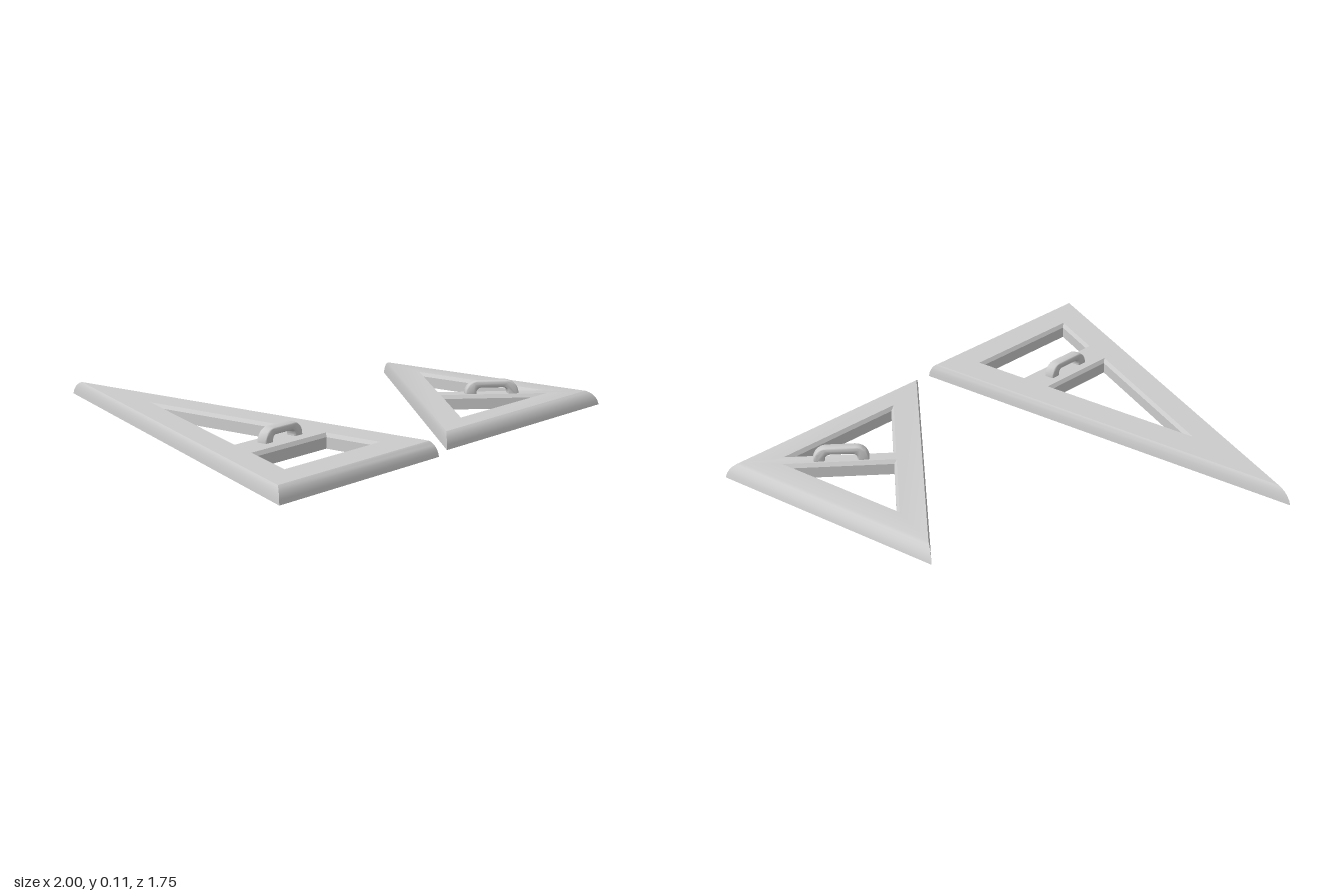
import * as THREE from 'three';
import { mergeGeometries, toCreasedNormals } from 'three/addons/utils/BufferGeometryUtils.js';

const HEIGHT = 0.055;
// Rounded bevel: [share of height, share of inset]
const BEVEL = [[0, 0], [0.3, 0.1], [0.55, 0.27], [0.75, 0.48], [0.9, 0.73], [1, 1]];
// Hole edge: straight wall with a small chamfer on top
const CHAMFER = [[0, 0], [0.75, 0], [1, 1]];

const material = new THREE.MeshStandardMaterial({ color: 0xcccccc });

// Moves every edge of an [x, z] polygon inwards by its own distance
function inset(points, distances) {
  const n = points.length;
  const normals = points.map(([x, z], i) => {
    const [x2, z2] = points[(i + 1) % n];
    const length = Math.hypot(x2 - x, z2 - z);
    return [(z - z2) / length, (x2 - x) / length];
  });
  return points.map(([x, z], i) => {
    const j = (i + n - 1) % n;
    const [ax, az] = normals[j], [bx, bz] = normals[i];
    const da = distances[j], db = distances[i];
    const det = ax * bz - az * bx;
    return [x + (da * bz - db * az) / det, z + (ax * db - bx * da) / det];
  });
}

// Side wall lofted through the profile; holes face the other way
function wall(points, distances, profile, isHole) {
  const rings = profile.map(([h, k]) =>
    inset(points, distances.map((d) => d * k)).map(([x, z]) => [x, h * HEIGHT, z]));
  const positions = [];
  for (let r = 0; r < rings.length - 1; r++) {
    for (let i = 0; i < points.length; i++) {
      const j = (i + 1) % points.length;
      const a = rings[r][i], b = rings[r][j], c = rings[r + 1][j], d = rings[r + 1][i];
      const corners = isHole ? [a, b, c, a, c, d] : [a, d, c, a, c, b];
      corners.forEach((p) => positions.push(...p));
    }
  }
  const geometry = new THREE.BufferGeometry();
  geometry.setAttribute('position', new THREE.Float32BufferAttribute(positions, 3));
  return geometry;
}

// Flat face with holes, facing up or down
function cap(outline, holes, up) {
  const sign = up ? -1 : 1;
  const toVectors = (points) => points.map(([x, z]) => new THREE.Vector2(x, sign * z));
  const shape = new THREE.Shape(toVectors(outline));
  shape.holes = holes.map((hole) => new THREE.Path(toVectors(hole)));
  const geometry = new THREE.ShapeGeometry(shape).toNonIndexed();
  geometry.rotateX(sign * Math.PI / 2).translate(0, up ? HEIGHT : 0, 0);
  geometry.deleteAttribute('uv');
  geometry.deleteAttribute('normal');
  return geometry;
}

// Plate with bevelled outer edges and chamfered cut-outs
function plate(outline, bevels, holes) {
  const widen = (hole) => hole.map(() => -0.01);
  const geometry = mergeGeometries([
    wall(outline, bevels, BEVEL, false),
    ...holes.map((hole) => wall(hole, widen(hole), CHAMFER, true)),
    cap(inset(outline, bevels), holes.map((hole) => inset(hole, widen(hole))), true),
    cap(outline, holes, false),
  ]);
  const mesh = new THREE.Mesh(toCreasedNormals(geometry, 0.5), material);
  mesh.name = 'plate';
  return mesh;
}

// Arched grip with softened edges
function handle(x, z, angle) {
  const half = 0.103, top = 0.056, inner = 0.06, innerTop = 0.028;
  const shape = new THREE.Shape();
  shape.moveTo(-half, -0.01);
  shape.lineTo(-half, 0.006);
  shape.bezierCurveTo(-half, 0.034, -0.08, top, -0.052, top);
  shape.lineTo(0.052, top);
  shape.bezierCurveTo(0.08, top, half, 0.034, half, 0.006);
  shape.lineTo(half, -0.01);
  shape.lineTo(inner, -0.01);
  shape.lineTo(inner, 0.004);
  shape.quadraticCurveTo(inner, innerTop, 0.04, innerTop);
  shape.lineTo(-0.04, innerTop);
  shape.quadraticCurveTo(-inner, innerTop, -inner, 0.004);
  shape.lineTo(-inner, -0.01);
  const bevel = 0.009, width = 0.043;
  const geometry = new THREE.ExtrudeGeometry(shape, {
    depth: width - 2 * bevel, curveSegments: 8,
    bevelThickness: bevel, bevelSize: bevel, bevelOffset: -bevel, bevelSegments: 4,
  });
  geometry.translate(0, 0, bevel - width / 2);
  const mesh = new THREE.Mesh(toCreasedNormals(geometry, 0.7), material);
  mesh.name = 'handle';
  mesh.position.set(x, 0.05, z);
  mesh.rotation.y = angle;
  return mesh;
}

function setSquare(name, ...parts) {
  const group = new THREE.Group();
  group.name = name;
  group.add(...parts);
  return group;
}

export function createModel() {
  const model = new THREE.Group();
  model.name = 'setSquares';
  model.add(
    setSquare('longSetSquare',
      plate(
        [[-0.125, -0.875], [-0.125, 0.875], [-1, 0.875]], [0.014, 0.033, 0.015],
        [
          [[-0.27, -0.3], [-0.27, 0.355], [-0.597, 0.355]],
          [[-0.662, 0.497], [-0.27, 0.497], [-0.27, 0.713], [-0.77, 0.713]],
        ]),
      handle(-0.433, 0.42, 0)),
    setSquare('shortSetSquare',
      plate(
        [[1, -0.185], [1, 0.837], [-0.022, 0.837]], [0.042, 0.036, 0.007],
        [
          [[0.858, 0.112], [0.858, 0.648], [0.59, 0.38]],
          [[0.537, 0.435], [0.803, 0.701], [0.271, 0.701]],
        ]),
      handle(0.698, 0.543, -Math.PI / 4)),
  );
  return model;
}
